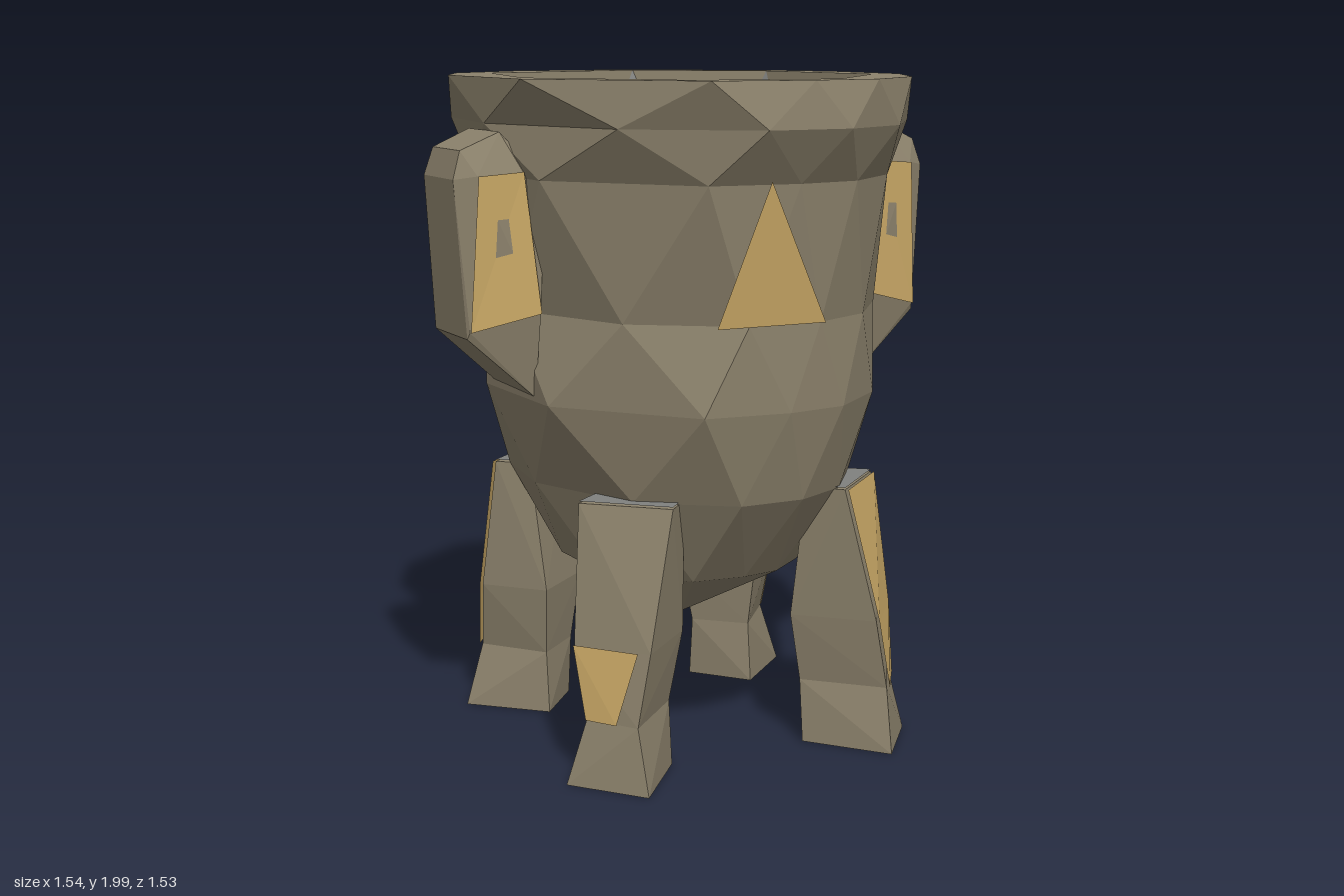
import * as THREE from 'three';
import { mergeGeometries } from 'three/addons/utils/BufferGeometryUtils.js';
import { ConvexGeometry } from 'three/addons/geometries/ConvexGeometry.js';

const V = (x, y, z) => new THREE.Vector3(x, y, z);
const mat = (color, side = THREE.FrontSide) =>
  new THREE.MeshStandardMaterial({ color, flatShading: true, side });

// Outer and inner rim outlines as [x, z]
const OUTER = [[-0.23, -0.75], [0.15, -0.77], [0.56, -0.45], [0.645, -0.2], [0.645, 0.19], [0.48, 0.53],
  [0.25, 0.73], [0.03, 0.77], [-0.27, 0.74], [-0.63, 0.29], [-0.645, -0.25], [-0.52, -0.53]];
const INNER = [[0.15, -0.66], [0.48, -0.35], [0.55, 0.19], [0.17, 0.64], [-0.26, 0.6], [-0.57, 0.15], [-0.43, -0.46]];
const RIM_Y = 1.99;

// Rim, belly and base levels as [y, x scale, z scale]
const LEVELS = [[RIM_Y, 1, 0.97], [1.86, 1, 1.01], [1.71, 0.9, 0.88], [1.32, 0.88, 0.835], [1.07, 0.86, 0.825],
  [0.8, 0.77, 0.75], [0.54, 0.54, 0.5], [0.34, 0, 0]];

function triangles(points) {
  const g = new THREE.BufferGeometry().setFromPoints(points);
  g.computeVertexNormals();
  return g;
}

// Point on the outer outline at a fractional corner index
function outline(t) {
  const n = OUTER.length, i = Math.floor(t), f = t - i;
  const a = OUTER[i % n], b = OUTER[(i + 1) % n];
  return [a[0] + (b[0] - a[0]) * f, a[1] + (b[1] - a[1]) * f];
}

// Faceted shell: every level is turned half a side against the one above
function shellGeometry() {
  const n = OUTER.length, pts = [];
  const at = (j, i) => {
    const [y, sx, sz] = LEVELS[j], [x, z] = outline((i % n) + j / 2);
    return V(x * sx, y, z * sz);
  };
  for (let j = 0; j < LEVELS.length - 1; j++) {
    for (let i = 0; i < n; i++) {
      pts.push(at(j, i), at(j, i + 1), at(j + 1, i));
      if (j < LEVELS.length - 2) pts.push(at(j, i + 1), at(j + 1, i + 1), at(j + 1, i));
    }
  }
  return triangles(pts);
}

// Flat ring of the rim
function rimGeometry() {
  const shape = new THREE.Shape(OUTER.map(([x, z]) => new THREE.Vector2(x, -z * 0.97)));
  shape.holes.push(new THREE.Path(INNER.map(([x, z]) => new THREE.Vector2(x, -z))));
  return new THREE.ShapeGeometry(shape).rotateX(-Math.PI / 2).translate(0, RIM_Y, 0);
}

// Inside wall: triangles hanging from the rim, spikes rising between them, and the floor
function liningGeometries() {
  const n = INNER.length, hanging = [], spikes = [], floor = [];
  const top = (i) => V(INNER[i % n][0], RIM_Y, INNER[i % n][1]);
  const low = (i) => top(i).add(top(i + 1)).multiplyScalar(0.45).setY(1.5);
  for (let i = 0; i < n; i++) {
    hanging.push(top(i), low(i), top(i + 1));
    spikes.push(top(i + 1), low(i), low(i + 1));
    floor.push(low(i + 1), low(i), V(0, 1.5, 0));
  }
  return [hanging, spikes, floor].map(triangles);
}

export function createModel() {
  const model = new THREE.Group();
  const stone = mat(0x8c826c), stoneInside = mat(0x8c826c, THREE.DoubleSide);
  const gold = mat(0xc9a866, THREE.DoubleSide), grey = mat(0x80817f, THREE.DoubleSide);

  const add = (parent, name, geometry, material) => {
    const mesh = new THREE.Mesh(geometry, material);
    mesh.name = name;
    parent.add(mesh);
  };
  const panel = (parent, name, [a, b, c, d], material) =>
    add(parent, name, triangles(d ? [a, b, c, a, c, d] : [a, b, c]), material);

  add(model, 'potShell', shellGeometry(), stone);
  add(model, 'rim', rimGeometry(), stone);
  const [hanging, spikes, floor] = liningGeometries();
  add(model, 'innerWall', hanging, stoneInside);
  add(model, 'innerWallSpikes', spikes, grey);
  add(model, 'innerFloor', floor, grey);

  // Gold triangle on the front
  panel(model, 'frontInlay', [V(-0.07, 1.72, 0.69), V(-0.21, 1.32, 0.642), V(0.13, 1.32, 0.642)], gold);

  // Side handles with gold cheeks
  for (const s of [1, -1]) {
    const handle = new THREE.Group();
    handle.name = s > 0 ? 'leftHandle' : 'rightHandle';
    const pts = [];
    for (const m of [1, -1]) {
      const cheek = [[0.58, 1.73, 0.17], [0.71, 1.72, 0.155], [0.735, 1.28, 0.14], [0.54, 1.33, 0.192]];
      const edge = [[0.63, 1.84, 0.12], [0.745, 1.79, 0.11], [0.77, 1.71, 0.12], [0.74, 1.26, 0.13],
        [0.54, 1.08, 0.145], [0.5, 1.7, 0.14]];
      pts.push(...cheek.concat(edge).map(([x, y, z]) => V(x * s, y, z * m)));
      panel(handle, 'handleInlay', cheek.map(([x, y, z]) => V(x * s, y, (z + 0.009) * m)), gold);
    }
    add(handle, 'handleBlock', new ConvexGeometry(pts), stone);
    model.add(handle);
  }

  // Legs: each section is a height and four [x, z] corners, the two outer ones first
  const sections = [
    [0, [0.565, 0.4], [0.4, 0.6], [0.22, 0.38], [0.36, 0.21]],
    [0.19, [0.505, 0.41], [0.41, 0.55], [0.22, 0.36], [0.36, 0.23]],
    [0.4, [0.52, 0.36], [0.37, 0.55], [0.18, 0.37], [0.37, 0.2]],
    [0.8, [0.485, 0.32], [0.28, 0.51], [0.2, 0.42], [0.4, 0.25]]];
  for (const sx of [1, -1]) for (const sz of [1, -1]) {
    const leg = new THREE.Group();
    leg.name = (sz > 0 ? 'front' : 'back') + (sx > 0 ? 'Left' : 'Right') + 'Leg';
    const corners = sections.map(([y, ...c]) => c.map(([x, z]) => V(sx * x, y, sz * z)));
    const parts = corners.slice(1).map((upper, i) => new ConvexGeometry([...corners[i], ...upper]));
    add(leg, 'legBlock', mergeGeometries(parts), stone);
    // Gold inlays lie just off the outer faces
    const [, ankle, knee, hip] = corners;
    const off = V(sx * 0.007, 0, sz * 0.007);
    const out = (a, b, f = 0) => a.clone().lerp(b, f).add(off);
    if (sx < 0 && sz > 0) {
      panel(leg, 'legInlay', [out(knee[0], knee[1]), out(knee[0], knee[1], 0.85), out(ankle[0], ankle[1], 0.6),
        out(ankle[0], ankle[1])], gold);
    } else {
      panel(leg, 'upperLegInlay', [out(hip[0], hip[1]), out(hip[1], hip[0]), out(knee[1], knee[0]),
        out(knee[0], knee[1])], gold);
      panel(leg, 'lowerLegInlay', [out(knee[0], knee[1]), out(knee[1], knee[0]), out(ankle[1], ankle[0]),
        out(ankle[0], ankle[1])], gold);
    }
    panel(leg, 'legTop', hip.map((p) => p.clone().setY(0.806)), grey);
    model.add(leg);
  }

  // Heap of jagged rocks, scattered in a sunflower pattern
  let seed = 7;
  const rnd = () => (seed = (seed * 16807) % 2147483647) / 2147483647;
  const dark = [], blue = [], count = 110;
  for (let i = 0; i < count; i++) {
    const r = Math.sqrt((i + 0.5) / count), a = i * 2.39996;
    const c = V(Math.cos(a) * r * 0.41 - 0.01, 1.6 + rnd() * 0.14, Math.sin(a) * r * 0.47);
    const size = 0.1 + rnd() * 0.07, pts = [];
    for (let k = 0; k < 7; k++) {
      const u = rnd() * 2 - 1, b = rnd() * Math.PI * 2, q = Math.sqrt(1 - u * u);
      pts.push(V(q * Math.cos(b), u, q * Math.sin(b)).multiplyScalar(size).add(c));
    }
    (i % 6 === 2 ? blue : dark).push(new ConvexGeometry(pts));
  }
  add(model, 'darkRocks', mergeGeometries(dark), mat(0x6f7173));
  add(model, 'blueRocks', mergeGeometries(blue), mat(0x7d9bb0));

  return model;
}
